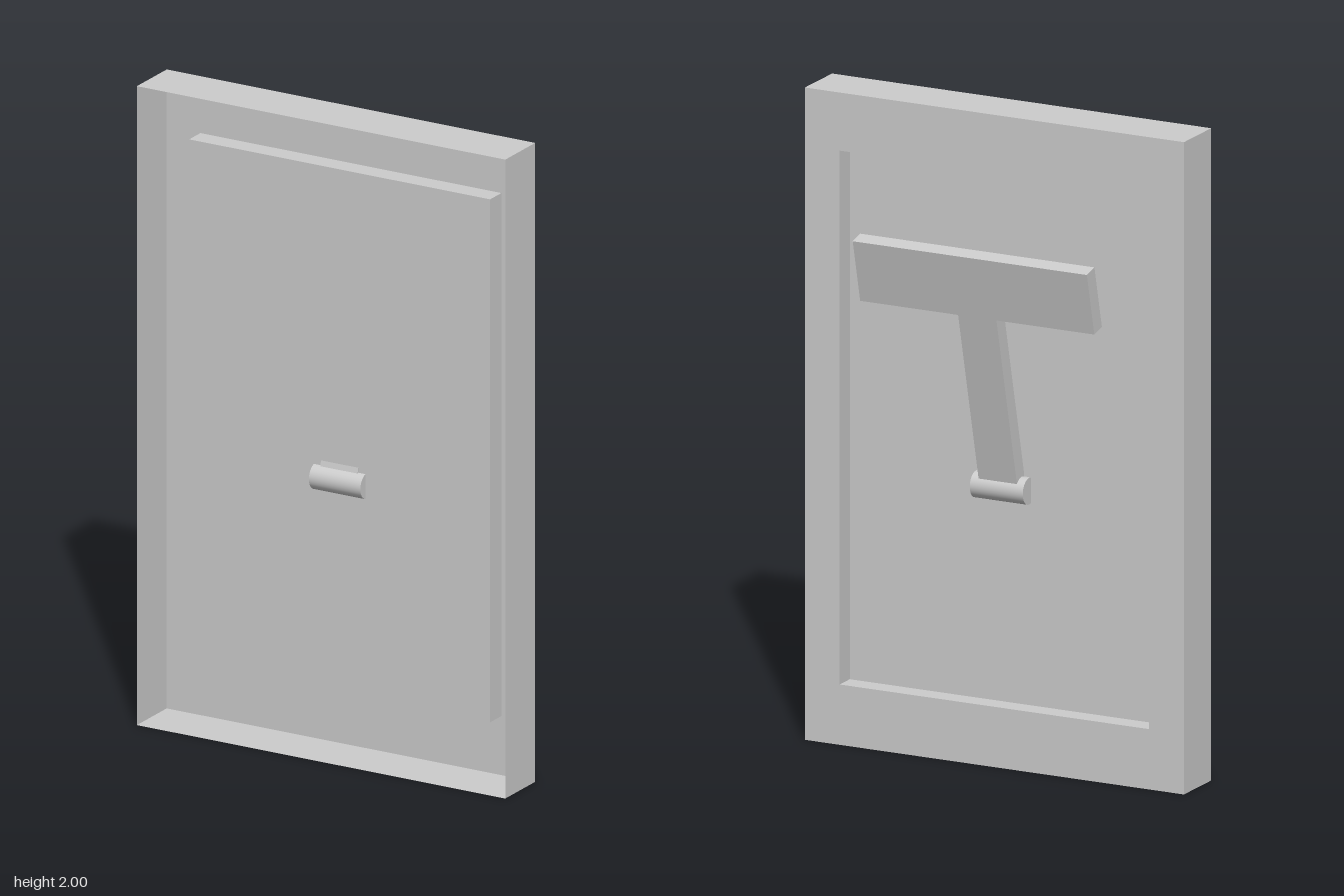
import * as THREE from 'three';

const grey = new THREE.MeshStandardMaterial({ color: 0xcccccc });
const sheetGrey = new THREE.MeshStandardMaterial({ color: 0xcccccc, side: THREE.DoubleSide });

// Four corners of an upright rectangle, counter-clockwise seen from the front
function rectangle(halfWidth, bottom, top, z) {
  return [[-halfWidth, bottom, z], [halfWidth, bottom, z], [halfWidth, top, z], [-halfWidth, top, z]];
}

// Thin sheet that joins successive rectangles; the last one is closed with a panel
function pressedSheet(loops) {
  const points = [];
  const quad = (a, b, c, d) => points.push(...a, ...b, ...c, ...a, ...c, ...d);
  for (let i = 0; i < loops.length - 1; i++) {
    for (let k = 0; k < 4; k++) {
      const n = (k + 1) % 4;
      quad(loops[i][k], loops[i][n], loops[i + 1][n], loops[i + 1][k]);
    }
  }
  quad(...loops[loops.length - 1]);
  const geometry = new THREE.BufferGeometry();
  geometry.setAttribute('position', new THREE.Float32BufferAttribute(points, 3));
  geometry.computeVertexNormals();
  return geometry;
}

function addMesh(parent, name, geometry, material) {
  const mesh = new THREE.Mesh(geometry, material);
  mesh.name = name;
  parent.add(mesh);
  return mesh;
}

export function createModel() {
  const model = new THREE.Group();
  model.name = 'framePanelWithStand';

  // Tray open to the front: side walls, back rim, step, raised centre panel
  addMesh(model, 'tray', pressedSheet([
    rectangle(0.633, 0, 2, 0.164),
    rectangle(0.633, 0, 2, -0.008),
    rectangle(0.517, 0.185, 1.822, -0.008),
    rectangle(0.517, 0.185, 1.822, 0.057),
  ]), sheetGrey);

  // Tilted stand, pivoting about the hinge
  const stand = new THREE.Group();
  stand.name = 'stand';
  stand.position.set(0, 0.845, 0.045);
  stand.rotation.x = THREE.MathUtils.degToRad(-13.6);
  model.add(stand);

  // T-shaped stem and crossbar
  const stem = 0.064, bar = 0.391, barBottom = 0.582, barTop = 0.782, thickness = 0.049;
  const outline = new THREE.Shape([
    [-stem, 0], [stem, 0], [stem, barBottom], [bar, barBottom],
    [bar, barTop], [-bar, barTop], [-bar, barBottom], [-stem, barBottom],
  ].map(([x, y]) => new THREE.Vector2(x, y)));
  const tee = new THREE.ExtrudeGeometry(outline, { depth: thickness, bevelEnabled: false });
  tee.translate(0, 0, -thickness / 2);
  addMesh(stand, 'teeSupport', tee, grey);

  // Round hinge pin set through the panel
  const pin = new THREE.CylinderGeometry(0.041, 0.041, 0.177, 32);
  pin.rotateZ(Math.PI / 2);
  addMesh(stand, 'hingePin', pin, grey);

  return model;
}
